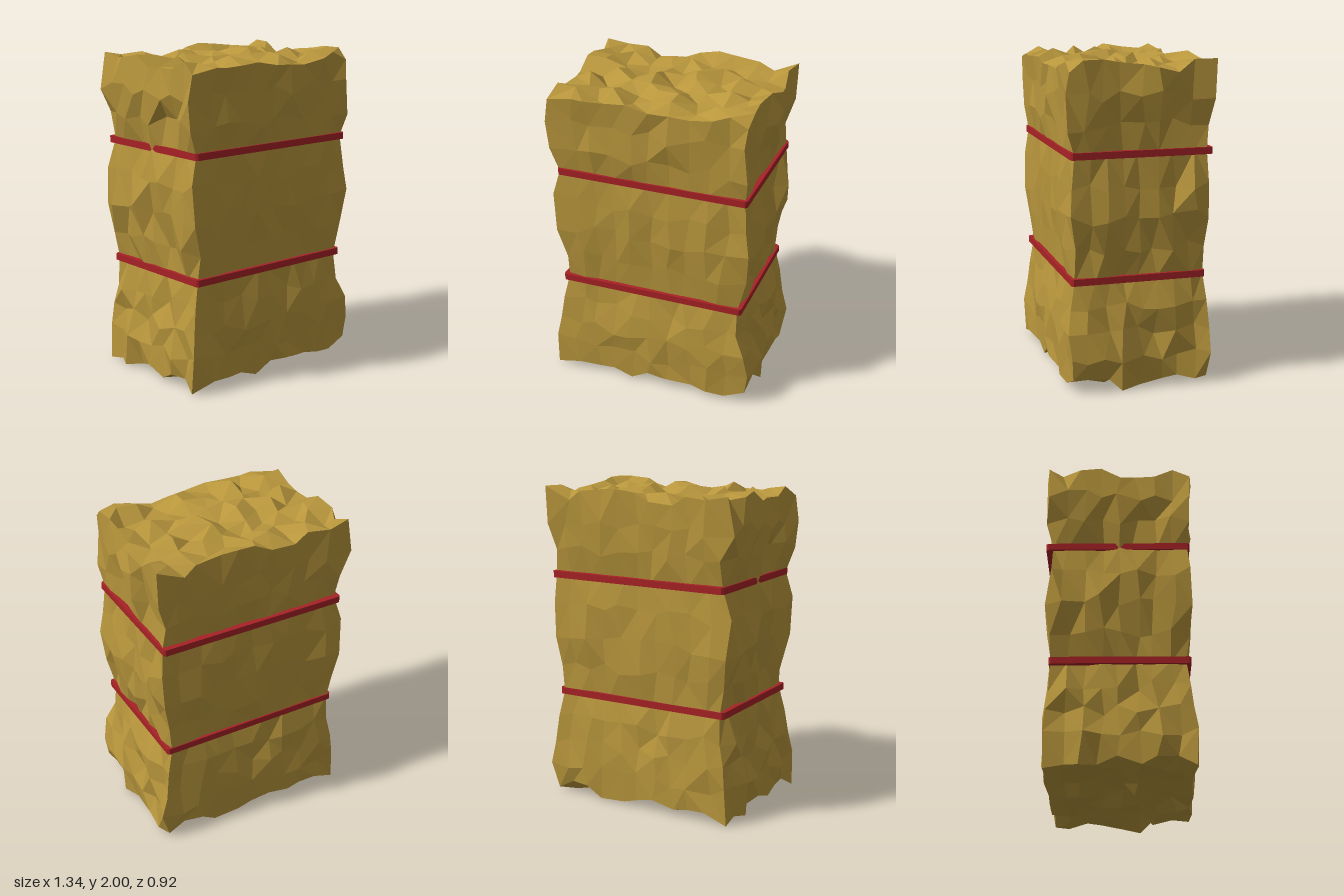
import * as THREE from 'three';

// Bale profile from floor to top: height, half width, half depth
const ROWS = [
  [0.045, 0.63, 0.441], [0.2, 0.637, 0.443], [0.36, 0.622, 0.437], [0.52, 0.6, 0.424],
  [0.68, 0.568, 0.4], [0.87, 0.595, 0.419], [1.06, 0.628, 0.43], [1.25, 0.62, 0.424],
  [1.44, 0.588, 0.412], [1.61, 0.612, 0.436], [1.78, 0.63, 0.443], [1.955, 0.622, 0.441],
];
const STRAP_ROWS = [4, 8];
const NX = 10, NY = ROWS.length - 1, NZ = 8;

// Repeatable value in -1..1 for a lattice point, so shared corners move together
function noise(...keys) {
  let h = 2166136261;
  for (const key of keys) {
    h = Math.imul(h ^ (key + 101), 2654435761);
    h = Math.imul(h ^ (h >>> 15), 2246822519);
    h ^= h >>> 13;
  }
  return (h >>> 0) / 2147483648 - 1;
}

// Split every quad along its shorter diagonal, for chunky facets
function splitShorter(geo) {
  const { position } = geo.attributes;
  const at = (n) => new THREE.Vector3().fromBufferAttribute(position, n);
  const index = geo.index.array;
  for (let q = 0; q < index.length; q += 6) {
    const a = index[q], b = index[q + 1], d = index[q + 2], c = index[q + 4];
    if (at(a).distanceTo(at(c)) < at(b).distanceTo(at(d))) index.set([a, b, c, a, c, d], q);
  }
}

// Rough straw block that follows the profile
function baleGeometry() {
  const geo = new THREE.BoxGeometry(NX, NY, NZ, NX, NY, NZ);
  const pos = geo.attributes.position;
  for (let v = 0; v < pos.count; v++) {
    const i = Math.round(pos.getX(v) + NX / 2);
    const j = Math.round(pos.getY(v) + NY / 2);
    const k = Math.round(pos.getZ(v) + NZ / 2);
    const n = (seed) => noise(i, j, k, seed);
    const onX = i === 0 || i === NX, onY = j === 0 || j === NY, onZ = k === 0 || k === NZ;
    const [y, halfX, halfZ] = ROWS[j];
    const strapped = STRAP_ROWS.includes(j);
    const loose = strapped ? 0.45 : 1;
    pos.setXYZ(
      v,
      -0.012 + (i / NX * 2 - 1) * halfX + n(1) * (onX ? 0.038 * loose : 0.03),
      y + n(2) * (onY ? 0.045 : strapped ? 0.01 : 0.035),
      (k / NZ * 2 - 1) * halfZ + n(3) * (onZ ? 0.018 * loose : 0.026)
    );
  }
  splitShorter(geo);
  const flat = geo.toNonIndexed();
  flat.computeVertexNormals();
  return flat;
}

// Rectangle outline with small clipped corners
function outline(Path, hx, hz, c) {
  return new Path([
    [hx - c, -hz], [hx, -hz + c], [hx, hz - c], [hx - c, hz],
    [-hx + c, hz], [-hx, hz - c], [-hx, -hz + c], [-hx + c, -hz],
  ].map(([x, y]) => new THREE.Vector2(x, y)));
}

// Flat band wrapped around the bale
function strapGeometry(hx, hz) {
  const shape = outline(THREE.Shape, hx, hz, 0.012);
  shape.holes.push(outline(THREE.Path, hx - 0.05, hz - 0.05, 0.005));
  const geo = new THREE.ExtrudeGeometry(shape, { depth: 0.042, bevelEnabled: false });
  geo.translate(0, 0, -0.021);
  geo.rotateX(-Math.PI / 2);
  return geo;
}

export function createModel() {
  const group = new THREE.Group();
  group.name = 'strawBale';

  const straw = new THREE.MeshStandardMaterial({ color: 0xb8963c, flatShading: true });
  const bale = new THREE.Mesh(baleGeometry(), straw);
  bale.name = 'bale';
  group.add(bale);

  const red = new THREE.MeshStandardMaterial({ color: 0xa82226, flatShading: true });
  const straps = [
    ['lowerStrap', 0.68, 0.594, 0.418, -0.014, 0.005],
    ['upperStrap', 1.44, 0.607, 0.437, -0.007, -0.008],
  ];
  for (const [name, y, hx, hz, x, z] of straps) {
    const strap = new THREE.Mesh(strapGeometry(hx, hz), red);
    strap.name = name;
    strap.position.set(x, y, z);
    group.add(strap);
  }
  return group;
}
